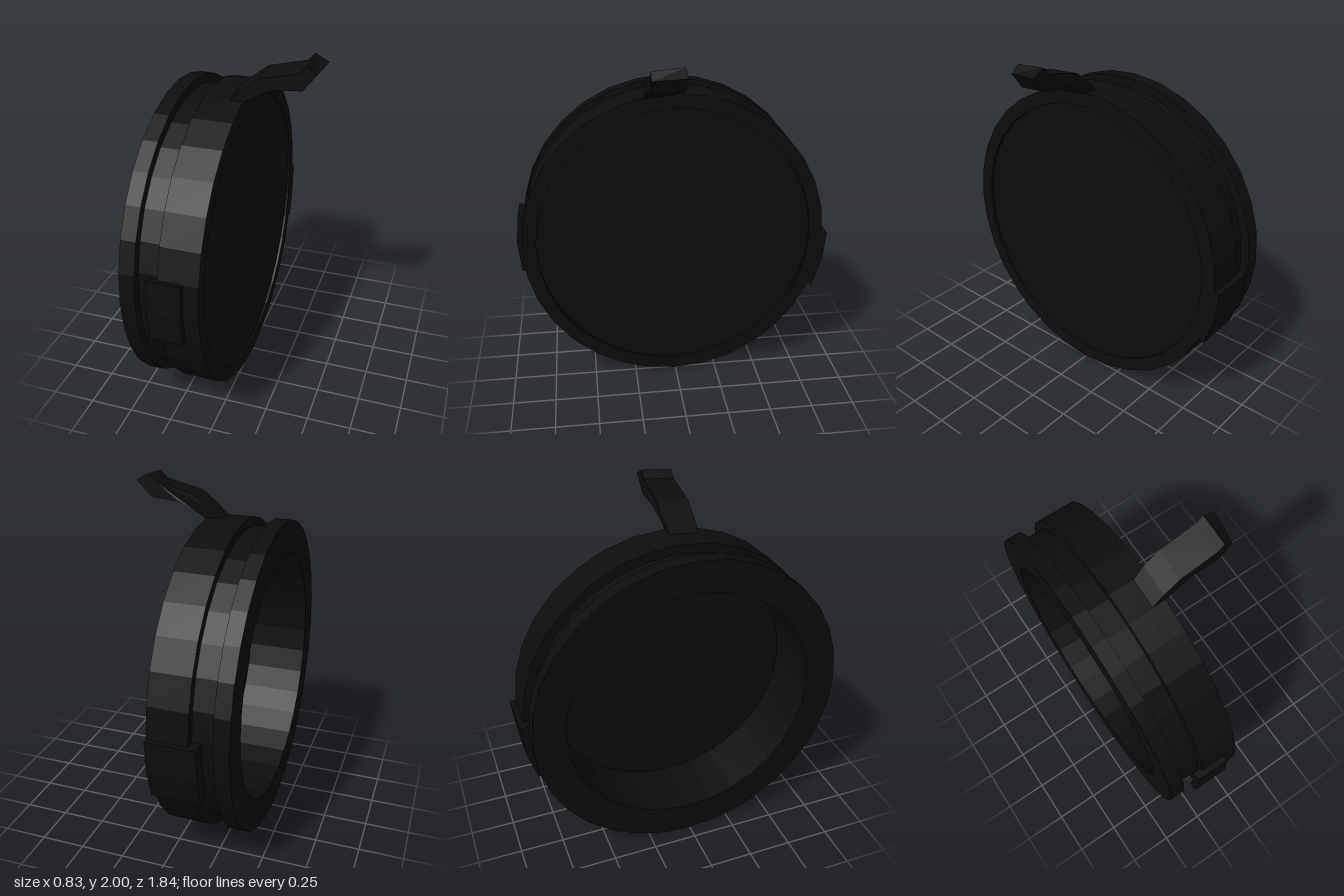
import * as THREE from 'three';

const CENTER_Y = 0.89;
const STEP = Math.PI / 16; // one facet of the 32-sided body

export function createModel() {
  const black = new THREE.MeshStandardMaterial({ color: 0x0d0d0d, flatShading: true });
  black.name = 'black plastic';
  const cap = new THREE.Group();
  cap.name = 'roundCap';

  const add = (name, geometry) => {
    const mesh = new THREE.Mesh(geometry, black);
    mesh.name = name;
    cap.add(mesh);
    return mesh;
  };

  // Body: hollow inside, grooved rim, shallow recess in the outer face.
  // Profile is [radius, position along x].
  const profile = [
    [0, -0.06], [0.71, -0.06], [0.71, -0.42], [0.89, -0.42],
    [0.89, -0.335], [0.84, -0.335], [0.84, -0.21], [0.89, -0.21],
    [0.89, 0.01], [0.81, 0.01], [0.81, -0.005], [0, -0.005],
  ].map(([r, x]) => new THREE.Vector2(r, x));
  const body = new THREE.LatheGeometry(profile, 32);
  body.rotateZ(-Math.PI / 2);
  add('body', body).position.y = CENTER_Y;

  // Rim tabs: two facets wide, following the rim
  const addTab = (name, firstStep, innerR, x0, x1) => {
    const outerR = 0.922;
    const pts = [];
    for (let i = 0; i <= 2; i++) pts.push([outerR, firstStep + i]);
    for (let i = 2; i >= 0; i--) pts.push([innerR, firstStep + i]);
    const shape = new THREE.Shape(pts.map(([r, s]) =>
      new THREE.Vector2(r * Math.cos(s * STEP), r * Math.sin(s * STEP))));
    const g = new THREE.ExtrudeGeometry(shape, { depth: x1 - x0, bevelEnabled: false });
    g.rotateY(Math.PI / 2);
    add(name, g).position.set(x0, CENTER_Y, 0);
  };
  addTab('frontTab', 15, 0.875, -0.26, -0.075);
  addTab('backTab', -2, 0.83, -0.26, 0.01);

  // Bent pull tongue on top of the rim
  const outline = [
    [-0.07, 1.775], [0, 1.84], [0.09, 1.91], [0.3, 1.96], [0.34, 2],
    [0.413, 1.96], [0.32, 1.87], [0.165, 1.857], [0.05, 1.80], [0, 1.765], [-0.07, 1.74],
  ].map(([x, y]) => new THREE.Vector2(x, y));
  const tongue = new THREE.ExtrudeGeometry(new THREE.Shape(outline), { depth: 1, bevelEnabled: false });
  const p = tongue.attributes.position;
  for (let i = 0; i < p.count; i++) {
    const x = p.getX(i), y = p.getY(i), t = p.getZ(i);
    // tilt with the rim facet and slant the tip
    p.setXYZ(i, x - (x > 0.4 ? 0.024 * t : 0), y - 0.015 * t,
      THREE.MathUtils.lerp(y > 1.83 ? -0.012 : 0, 0.165, t));
  }
  tongue.computeVertexNormals();
  add('pullTongue', tongue);

  return cap;
}
